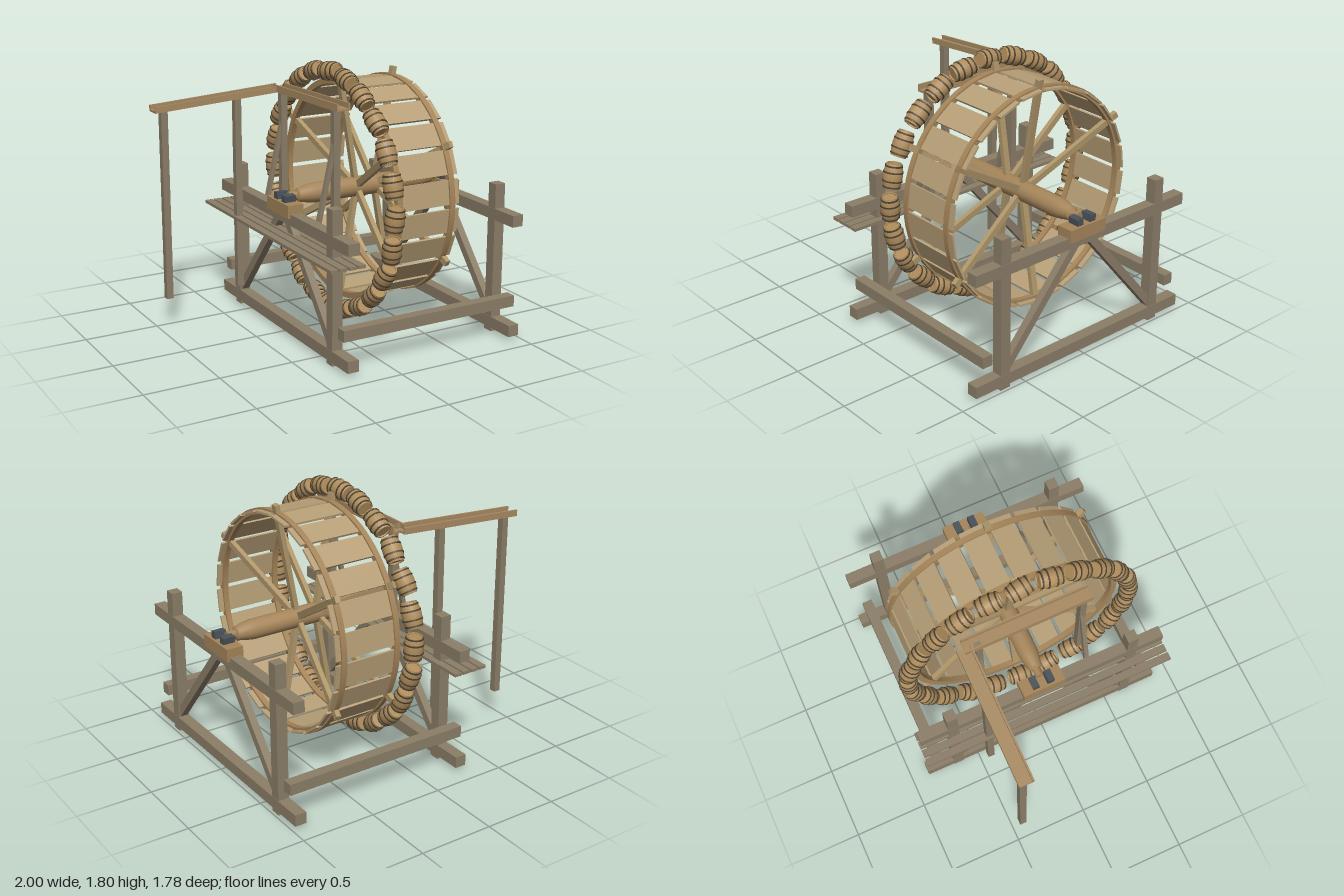
import * as THREE from 'three';
import { toCreasedNormals } from 'three/addons/utils/BufferGeometryUtils.js';

const mat = (color) => new THREE.MeshStandardMaterial({ color });
const V = (x, y, z) => new THREE.Vector3(x, y, z);

export function createModel() {
  const root = new THREE.Group();
  const frameWood = mat(0x8b7e68), wheelWood = mat(0xa5855a), plankWood = mat(0xb8a078);
  const spokeWood = mat(0xb0976b), barrelWood = mat(0xb08d5c), chuteWood = mat(0xa88a62);
  const iron = mat(0x4a5259), hoopIron = mat(0x4b4335);

  let seed = 7;
  const jitter = (amount) => {
    seed = (seed * 16807) % 2147483647;
    return (seed / 2147483647 - 0.5) * 2 * amount;
  };
  const add = (parent, name, geometry, material) => {
    const mesh = new THREE.Mesh(geometry, material);
    mesh.name = name;
    parent.add(mesh);
    return mesh;
  };
  // Box given by its extents
  const box = (parent, name, x0, x1, y0, y1, z0, z1, material) => {
    const mesh = add(parent, name, new THREE.BoxGeometry(x1 - x0, y1 - y0, z1 - z0), material);
    mesh.position.set((x0 + x1) / 2, (y0 + y1) / 2, (z0 + z1) / 2);
    return mesh;
  };
  // Box section running from a to b
  const beam = (name, a, b, w, h, material) => {
    const mesh = new THREE.Mesh(new THREE.BoxGeometry(w, h, a.distanceTo(b)), material);
    mesh.name = name;
    mesh.position.copy(a).add(b).multiplyScalar(0.5);
    mesh.lookAt(b);
    root.add(mesh);
  };
  const lathe = (points, sides, crease = 0.6) => toCreasedNormals(
    new THREE.LatheGeometry(points.map(([r, y]) => new THREE.Vector2(r, y)), sides), crease);

  // Side frames with bearings
  for (const x of [-0.278, 0.943]) {
    const frame = new THREE.Group();
    frame.name = 'sideFrame';
    root.add(frame);
    box(frame, 'axleBeam', x - 0.039, x + 0.039, 0.775, 0.852, -0.88, 0.88, frameWood);
    box(frame, 'groundBeam', x - 0.039, x + 0.039, 0.025, 0.102, -0.88, 0.88, frameWood);
    box(frame, 'bearingBlock', x - 0.057, x + 0.057, 0.825, 0.91, -0.148, 0.148, wheelWood);
    for (const s of [-1, 1]) {
      const zc = s * 0.648;
      box(frame, 'post', x - 0.037, x + 0.037, 0, 1.015, zc - 0.037, zc + 0.037, frameWood);
      beam('diagonalBrace', V(x, 0.13, s * 0.625), V(x, 0.79, s * 0.06), 0.05, 0.055, frameWood);
      const cheek = box(frame, 'bearingCheek', x - 0.04, x + 0.04, 0.905, 0.955,
        s * 0.053 - 0.023, s * 0.053 + 0.023, iron);
      cheek.rotation.x = s * 0.1;
    }
  }
  for (const z of [-0.79, 0.79]) {
    box(root, 'crossBeam', -0.315, 0.98, 0.21, 0.285, z - 0.036, z + 0.036, frameWood);
  }

  // Walkway boards beside the wheel
  for (const x of [-0.418, -0.354, -0.29, -0.226]) {
    box(root, 'walkwayBoard', x - 0.026, x + 0.026, 0.692, 0.712, -0.89, 0.89, frameWood);
  }

  // Wheel: local y and z span its plane, x is the axle
  const wheel = new THREE.Group();
  wheel.name = 'wheel';
  wheel.position.y = 0.93;
  root.add(wheel);

  const axle = add(wheel, 'axle', lathe([
    [0, -0.585], [0.028, -0.585], [0.028, -0.53], [0.045, -0.52], [0.06, -0.45], [0.067, -0.4],
    [0.067, 0.4], [0.06, 0.45], [0.045, 0.52], [0.028, 0.53], [0.028, 0.585], [0, 0.585],
  ], 20), wheelWood);
  axle.rotation.z = -Math.PI / 2;
  axle.position.x = 0.333;

  const rimGeometry = lathe([[0.7, -0.019], [0.74, -0.019], [0.74, 0.019], [0.7, 0.019], [0.7, -0.019]], 72);
  rimGeometry.rotateZ(Math.PI / 2);
  // Each rim has six spokes leaning inward to the hub
  for (const [rimX, hubX] of [[0.138, 0.26], [0.53, 0.4]]) {
    add(wheel, 'rim', rimGeometry, wheelWood).position.x = rimX;
    const lean = Math.atan2(hubX - rimX, 0.72);
    for (let i = 0; i < 6; i++) {
      const arm = new THREE.Group();
      arm.name = 'spokeArm';
      arm.rotation.x = i * Math.PI / 3;
      wheel.add(arm);
      const spoke = add(arm, 'spoke', new THREE.BoxGeometry(0.032, 0.76, 0.043), spokeWood);
      spoke.rotation.z = lean;
      spoke.position.set(rimX + Math.tan(lean) * (0.72 - 0.415), 0.415, 0);
    }
  }

  // Tread planks between the spoke lines
  const plankGeometry = new THREE.BoxGeometry(0.465, 0.014, 0.16);
  for (let i = 0; i < 24; i++) {
    const a = (i + 0.5) * Math.PI / 12;
    const plank = add(wheel, 'treadPlank', plankGeometry, plankWood);
    plank.position.set(0.352, 0.72 * Math.cos(a), 0.72 * Math.sin(a));
    plank.rotation.x = a;
  }

  // Barrels tied around the outer edge
  const bulge = (y) => 0.063 - 0.014 * (y / 0.082) ** 2;
  const profile = [[0, -0.072], [0.042, -0.072], [0.043, -0.082]];
  for (let i = -4; i <= 4; i++) profile.push([bulge(i * 0.0205), i * 0.0205]);
  profile.push([0.043, 0.082], [0.042, 0.072], [0, 0.072]);
  const barrelGeometry = lathe(profile, 14).rotateX(Math.PI / 2);
  const hoopGeometries = [-0.066, -0.028, 0.028, 0.066].map((y) => {
    const r = bulge(y);
    return lathe([[r - 0.004, y - 0.005], [r + 0.003, y - 0.005], [r + 0.003, y + 0.005],
      [r - 0.004, y + 0.005]], 14).rotateX(Math.PI / 2);
  });
  for (let i = 0; i < 24; i++) {
    const a = i * Math.PI / 12;
    const barrel = new THREE.Group();
    barrel.name = 'barrel';
    barrel.position.set(0.06, 0.797 * Math.cos(a), 0.797 * Math.sin(a));
    barrel.rotation.set(a + jitter(0.14), jitter(0.14), 0);
    add(barrel, 'barrelBody', barrelGeometry, barrelWood);
    for (const hoop of hoopGeometries) add(barrel, 'barrelHoop', hoop, hoopIron);
    wheel.add(barrel);
  }

  // Open water troughs
  const trough = (name, a, b, w, h) => {
    const g = new THREE.Group(), half = a.distanceTo(b) / 2;
    g.name = name;
    box(g, 'troughFloor', -w / 2, w / 2, 0, 0.014, -half, half, chuteWood);
    for (const s of [-1, 1]) {
      const c = s * (w / 2 - 0.006);
      box(g, 'troughSide', c - 0.006, c + 0.006, 0, h, -half, half, chuteWood);
    }
    g.position.copy(a).add(b).multiplyScalar(0.5);
    g.lookAt(b);
    root.add(g);
  };
  trough('deliveryTrough', V(-1, 1.482, -0.44), V(-0.085, 1.54, -0.44), 0.1, 0.042);
  trough('catchTrough', V(-0.082, 1.552, 0.415), V(-0.082, 1.538, -0.44), 0.097, 0.048);

  // Trough supports
  for (const [x, top] of [[-0.928, 1.487], [-0.403, 1.52]]) {
    box(root, 'deliveryPost', x - 0.023, x + 0.023, 0.21, top, -0.463, -0.417, frameWood);
  }
  for (const z of [-0.353, 0.353]) {
    box(root, 'catchPost', -0.126, -0.08, 0.79, 1.555, z - 0.022, z + 0.022, frameWood);
    beam('catchBrace', V(-0.235, 0.79, z), V(-0.105, 1.37, z), 0.03, 0.028, frameWood);
  }
  return root;
}
